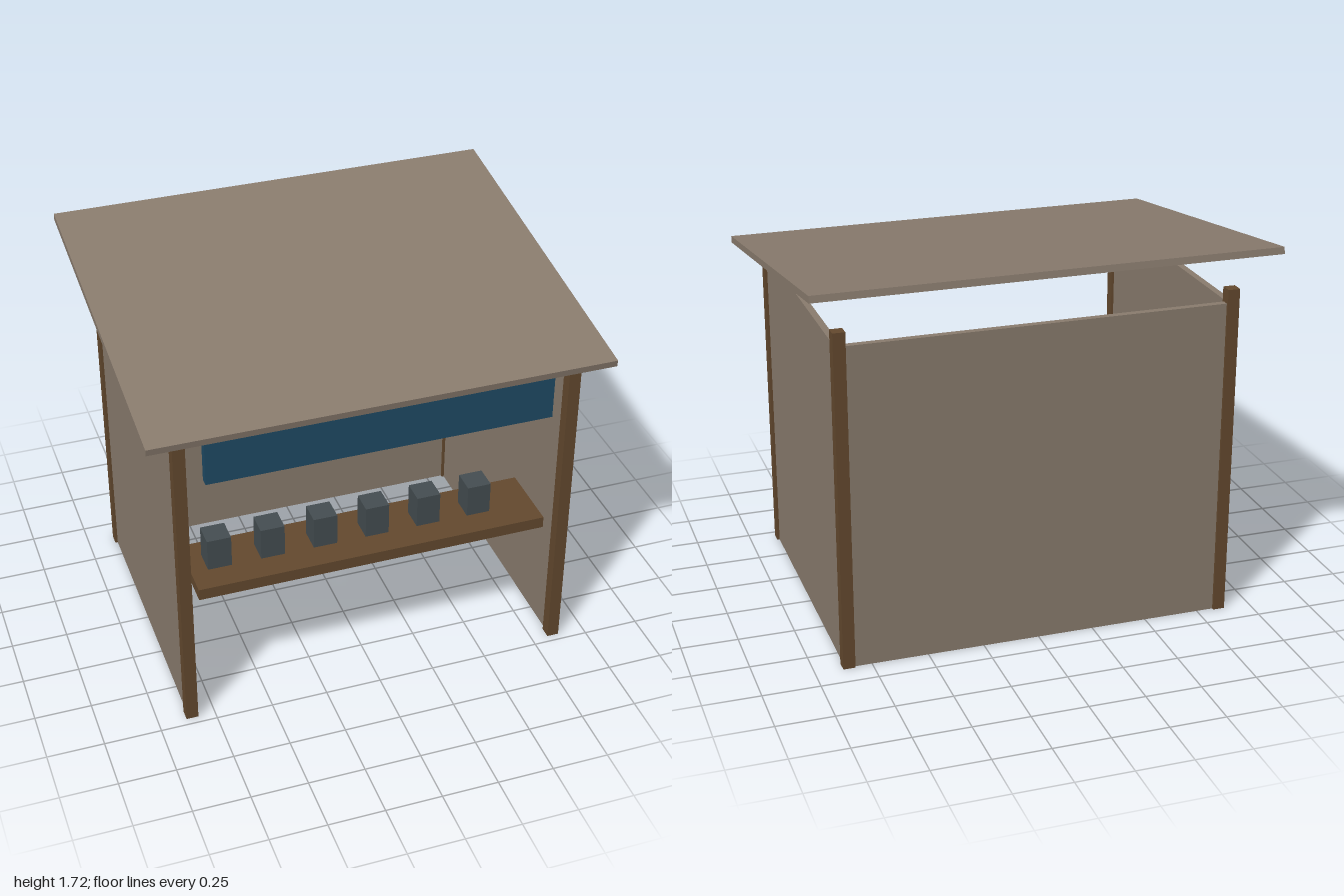
import * as THREE from 'three';

export function createModel() {
  const group = new THREE.Group();
  const mat = (name, color) => {
    const m = new THREE.MeshStandardMaterial({ color });
    m.name = name;
    return m;
  };
  const panel = mat('weathered panel', 0x8b7d6f);
  const timber = mat('brown timber', 0x654a2f);
  const blue = mat('sign blue', 0x1f4b66);
  const slate = mat('slate grey', 0x454e52);

  const box = (name, material, [w, h, d], [x, y, z]) => {
    const mesh = new THREE.Mesh(new THREE.BoxGeometry(w, h, d), material);
    mesh.name = name;
    mesh.position.set(x, y, z);
    group.add(mesh);
    return mesh;
  };

  // Corner posts and side walls
  for (const [side, s] of [['left', 1], ['right', -1]]) {
    box(`${side}FrontPost`, timber, [0.053, 1.508, 0.053], [s * 0.852, 0.754, 0.689]);
    box(`${side}BackPost`, timber, [0.053, 1.508, 0.053], [s * 0.852, 0.754, -0.62]);
    box(`${side}Wall`, panel, [0.03, 1.445, 1.31], [s * 0.852, 0.7225, 0.035]);
  }
  box('backWall', panel, [1.7, 1.445, 0.03], [0, 0.7225, -0.62]);

  // Roof sloping down to the front
  const roof = box('roof', panel, [2, 0.03, 1.6], [0, 1.597, 0]);
  roof.rotation.x = THREE.MathUtils.degToRad(8);

  // Sign board under the eave
  box('signBoard', blue, [1.504, 0.22, 0.04], [0, 1.345, 0.711]);

  // Counter with a row of goods
  box('counter', timber, [1.568, 0.053, 0.315], [0, 0.625, 0.505]);
  for (let i = 0; i < 6; i++) {
    box(`goodsBox${i + 1}`, slate, [0.106, 0.148, 0.106], [-0.657 + i * 0.236, 0.725, 0.49]);
  }

  return group;
}
